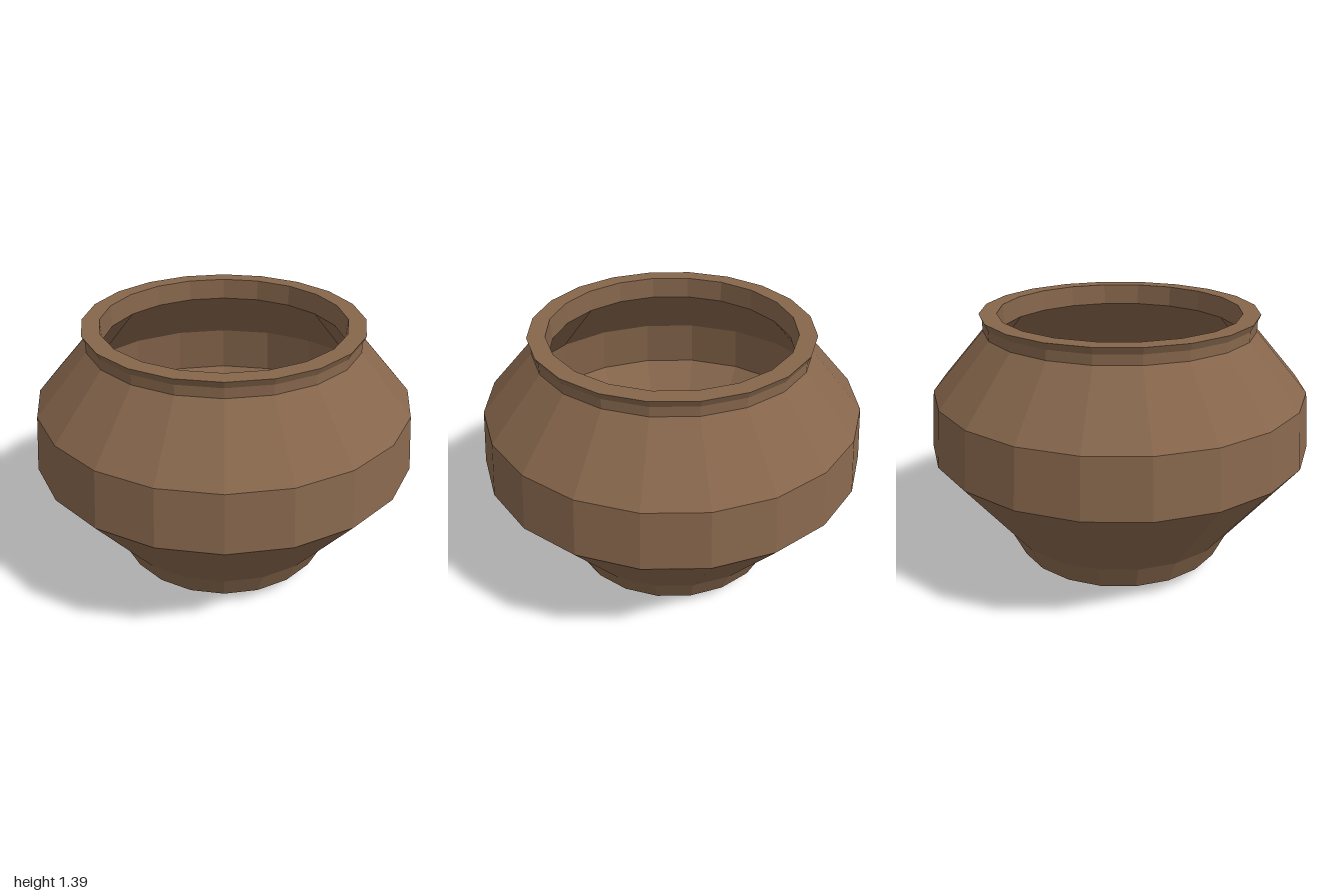
import * as THREE from 'three';

const clay = new THREE.MeshStandardMaterial({ color: 0x86664c });
clay.name = 'brown clay';

// Faceted lathe from a list of [radius, height] points
function turned(name, profile, sides) {
  const points = profile.map(([r, y]) => new THREE.Vector2(r, y));
  const geometry = new THREE.LatheGeometry(points, sides).toNonIndexed();
  geometry.computeVertexNormals();
  const mesh = new THREE.Mesh(geometry, clay);
  mesh.name = name;
  return mesh;
}

export function createModel() {
  const pot = new THREE.Group();
  pot.name = 'pot';

  // Thick-walled bowl: underside, outer wall, lip, inner wall, floor, drain hole
  pot.add(turned('bowl', [
    [0.06, 0.09], [0.57, 0.09], [0.635, 0.23], [1, 0.7], [0.97, 0.995],
    [0.7, 1.305], [0.7, 1.355], [0.715, 1.39],
    [0.625, 1.39], [0.62, 1.28], [0.89, 0.97], [0.92, 0.71],
    [0.565, 0.26], [0.5, 0.17], [0.06, 0.17], [0.06, 0.09],
  ], 20));

  // Foot ring, open in the middle
  pot.add(turned('footRing', [
    [0.347, 0], [0.415, 0], [0.415, 0.09], [0.347, 0.09], [0.347, 0],
  ], 16));

  return pot;
}
